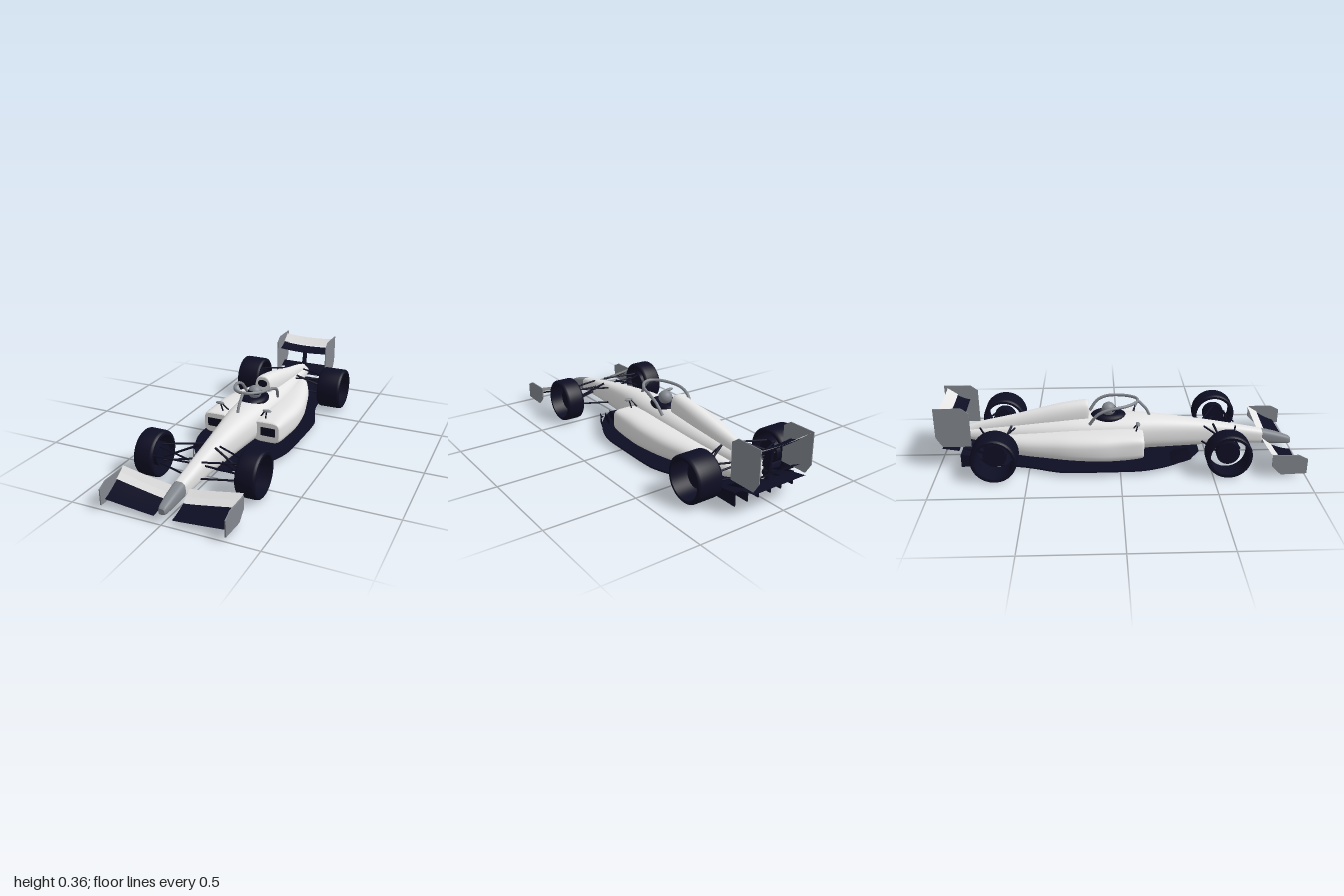
import * as THREE from 'three';
import { toCreasedNormals } from 'three/addons/utils/BufferGeometryUtils.js';

const V = (x, y, z) => new THREE.Vector3(x, y, z);
const SIDES = [1, -1];

export function createModel() {
  const car = new THREE.Group();
  const paint = (name, color) => {
    const m = new THREE.MeshStandardMaterial({ color, side: THREE.DoubleSide });
    m.name = name;
    return m;
  };
  const white = paint('bodyWhite', 0xe4e4e4);
  const navy = paint('darkNavy', 0x0e0e24);
  const grey = paint('trimGrey', 0x83888f);

  const add = (name, geo, mat, pos) => {
    const m = new THREE.Mesh(geo, mat);
    m.name = name;
    if (pos) m.position.copy(pos);
    car.add(m);
    return m;
  };

  // Smoothly lofted body: sections are [z, centreX, halfWidth, bottom, top, squareness]
  const loft = (name, keys, mat, s = 1, sub = 4, N = 36) => {
    const rows = [];
    const cr = (a, b, c, d, t) =>
      0.5 * (2 * b + (c - a) * t + (2 * a - 5 * b + 4 * c - d) * t * t + (3 * b - a - 3 * c + d) * t * t * t);
    for (let i = 0; i < keys.length - 1; i++) {
      const [a, b, c, d] = [-1, 0, 1, 2].map((k) => keys[Math.min(Math.max(i + k, 0), keys.length - 1)]);
      for (let k = 0; k < sub; k++) rows.push(b.map((_, q) => cr(a[q], b[q], c[q], d[q], k / sub)));
    }
    rows.push(keys[keys.length - 1]);
    const pos = [], idx = [];
    const ring = ([z, cx, w, y0, y1, n]) => {
      for (let j = 0; j < N; j++) {
        const a = (j / N) * Math.PI * 2, c = Math.cos(a), q = Math.sin(a);
        pos.push(s * cx + w * Math.sign(c) * Math.abs(c) ** (2 / n),
          (y0 + y1) / 2 + ((y1 - y0) / 2) * Math.sign(q) * Math.abs(q) ** (2 / n), z);
      }
    };
    rows.forEach(ring);
    for (let i = 0; i < rows.length - 1; i++) for (let j = 0; j < N; j++) {
      const k = (j + 1) % N, a = i * N + j, b = i * N + k;
      idx.push(a, a + N, b, b, a + N, b + N);
    }
    [rows[0], rows[rows.length - 1]].forEach((r, e) => {
      const base = pos.length / 3;
      ring(r);
      pos.push(s * r[1], (r[3] + r[4]) / 2, r[0]);
      for (let j = 0; j < N; j++) {
        const k = (j + 1) % N;
        idx.push(base + N, base + (e ? k : j), base + (e ? j : k));
      }
    });
    const g = new THREE.BufferGeometry();
    g.setAttribute('position', new THREE.Float32BufferAttribute(pos, 3));
    g.setIndex(idx);
    g.computeVertexNormals();
    return add(name, g, mat);
  };

  // Thin curved panel: f(u, v) returns a point
  const sheet = (name, f, mat, nu = 12, nv = 5) => {
    const g = new THREE.PlaneGeometry(1, 1, nu, nv), p = g.attributes.position;
    for (let i = 0; i < p.count; i++) p.setXYZ(i, ...f(p.getX(i) + 0.5, 0.5 - p.getY(i)).toArray());
    g.computeVertexNormals();
    return add(name, g, mat);
  };

  const rod = (name, a, b, r = 0.005, mat = navy) => {
    const m = add(name, new THREE.CylinderGeometry(r, r, a.distanceTo(b), 8), mat, a.clone().lerp(b, 0.5));
    m.quaternion.setFromUnitVectors(V(0, 1, 0), b.clone().sub(a).normalize());
  };

  // Plate standing upright along z, outline given as [z, y]
  const plate = (name, pts, x, mat, t = 0.006) => {
    const shape = new THREE.Shape(pts.map(([z, y]) => new THREE.Vector2(-z, y)));
    const g = new THREE.ExtrudeGeometry(shape, { depth: t, bevelEnabled: false });
    g.translate(0, 0, -t / 2).rotateY(Math.PI / 2);
    return add(name, g, mat, V(x, 0, 0));
  };

  // Fuselage, nose tip and engine cover
  loft('noseTip', [[0.99, 0, 0.016, 0.05, 0.08, 3], [0.97, 0, 0.023, 0.046, 0.093, 3],
    [0.9, 0, 0.03, 0.049, 0.117, 3], [0.82, 0, 0.034, 0.055, 0.137, 3]], grey);
  loft('fuselage', [[0.82, 0, 0.034, 0.055, 0.137, 3], [0.6, 0, 0.046, 0.055, 0.178, 2.8],
    [0.4, 0, 0.064, 0.05, 0.21, 2.6], [0.2, 0, 0.088, 0.045, 0.235, 2.5], [0.05, 0, 0.105, 0.043, 0.243, 2.5],
    [-0.2, 0, 0.112, 0.043, 0.243, 2.5], [-0.4, 0, 0.098, 0.045, 0.225, 2.5],
    [-0.6, 0, 0.068, 0.06, 0.2, 2.4], [-0.75, 0, 0.046, 0.085, 0.185, 2.3], [-0.86, 0, 0.038, 0.11, 0.175, 2.2]], white);
  loft('engineCover', [[-0.17, 0, 0.045, 0.2, 0.322, 2.6], [-0.19, 0, 0.05, 0.18, 0.331, 2.5],
    [-0.32, 0, 0.052, 0.16, 0.313, 2.3], [-0.45, 0, 0.046, 0.15, 0.284, 2.1], [-0.6, 0, 0.036, 0.14, 0.248, 2],
    [-0.75, 0, 0.028, 0.13, 0.217, 2], [-0.85, 0, 0.026, 0.12, 0.19, 2]], white);
  add('airIntake', new THREE.CircleGeometry(0.024, 24), navy, V(0, 0.288, -0.166)).scale.set(1.25, 0.9, 1);
  add('exhaust', new THREE.CylinderGeometry(0.018, 0.018, 0.04, 16, 1, true), navy, V(0, 0.15, -0.87)).rotation.x = Math.PI / 2;

  // Cockpit and driver
  const pad = add('headrest', new THREE.TorusGeometry(0.056, 0.021, 12, 32), navy, V(0, 0.236, -0.06));
  pad.rotation.x = Math.PI / 2;
  pad.scale.y = 1.3;
  add('cockpitWell', new THREE.SphereGeometry(1, 24, 12), navy, V(0, 0.232, -0.06)).scale.set(0.06, 0.018, 0.085);
  add('helmet', new THREE.SphereGeometry(0.039, 28, 20), grey, V(0, 0.276, -0.058));
  add('visor', new THREE.SphereGeometry(0.0405, 24, 6, Math.PI * 0.15, Math.PI * 0.7, 1.2, 0.5), navy, V(0, 0.276, -0.058));

  // Halo hoop with its centre pillar
  const hoop = [[-0.098, 0.225, -0.165], [-0.108, 0.285, -0.12], [-0.107, 0.312, -0.06], [-0.08, 0.322, 0.04], [-0.035, 0.326, 0.095]];
  const hoopPts = [...hoop, [0, 0.327, 0.105], ...hoop.slice().reverse().map(([x, y, z]) => [-x, y, z])].map((p) => V(...p));
  add('halo', new THREE.TubeGeometry(new THREE.CatmullRomCurve3(hoopPts), 64, 0.0085, 10), grey);
  add('haloPillar', new THREE.TubeGeometry(
    new THREE.CatmullRomCurve3([V(0, 0.228, 0.175), V(0, 0.27, 0.155), V(0, 0.325, 0.105)]), 16, 0.008, 10), grey);

  // Floor
  const edge = [[0.05, 0.455], [0.12, 0.405], [0.2, 0.305], [0.25, 0.2], [0.275, 0.1], [0.28, -0.05],
    [0.28, -0.28], [0.262, -0.37], [0.225, -0.47], [0.2, -0.57], [0.19, -0.7]];
  const outline = new THREE.SplineCurve(edge.map((p) => new THREE.Vector2(...p))).getPoints(48);
  outline.push(new THREE.Vector2(0.19, -0.79));
  const floorShape = new THREE.Shape([...outline, ...outline.slice().reverse().map((p) => new THREE.Vector2(-p.x, p.y))]);
  add('floor', new THREE.ExtrudeGeometry(floorShape, { depth: 0.009, bevelEnabled: false }).rotateX(Math.PI / 2), navy, V(0, 0.03, 0));

  // Diffuser ramp with strakes
  sheet('diffuserRamp', (u, v) => V((u - 0.5) * 0.38, 0.03 + 0.065 * v ** 1.4, -0.62 - 0.25 * v), navy);
  for (const x of [-0.19, -0.11, -0.04, 0.04, 0.11, 0.19])
    plate('diffuserStrake', [[-0.68, 0.024], [-0.87, 0.024], [-0.87, 0.098], [-0.78, 0.085]], x, navy);

  for (const s of SIDES) {
    // Sidepod with inlet
    loft('sidepod', [[0.13, 0.15, 0.074, 0.075, 0.183, 4.5], [0.11, 0.15, 0.082, 0.062, 0.192, 4],
      [0, 0.147, 0.091, 0.046, 0.197, 3.2], [-0.12, 0.145, 0.098, 0.043, 0.195, 3],
      [-0.27, 0.125, 0.102, 0.043, 0.188, 2.8], [-0.4, 0.1, 0.094, 0.043, 0.176, 2.6],
      [-0.55, 0.075, 0.076, 0.045, 0.16, 2.4], [-0.68, 0.052, 0.046, 0.06, 0.145, 2.2],
      [-0.76, 0.035, 0.024, 0.08, 0.13, 2]], white, s);
    add('sidepodInlet', new THREE.BoxGeometry(0.085, 0.048, 0.006), navy, V(s * 0.162, 0.132, 0.13));

    // Floor fences
    for (const [x0, x1] of [[0.08, 0.12], [0.105, 0.165], [0.125, 0.212]])
      sheet('floorFence', (u, v) => V(s * (x0 + (x1 - x0) * Math.sqrt(u)),
        0.027 + v * 0.047 * Math.min(1, u * 5, 0.6 + (1 - u) * 2), 0.41 - 0.13 * u), navy, 10, 2);

    // Mirror
    const mirror = add('mirror', new THREE.SphereGeometry(1, 16, 10), grey, V(s * 0.143, 0.243, 0.1));
    mirror.scale.set(0.026, 0.008, 0.012);
    rod('mirrorStay', V(s * 0.1, 0.2, 0.08), V(s * 0.13, 0.24, 0.1), 0.004);
    rod('mirrorStay', V(s * 0.13, 0.19, 0.09), V(s * 0.14, 0.24, 0.1), 0.004);

    // Wheels: open tyre band around a brake drum
    for (const [name, z, x, h] of [['front', 0.58, 0.281, 0.053], ['rear', -0.674, 0.272, 0.072]]) {
      const prof = [[0.103, -h], [0.116, -h], [0.122, -h + 0.006], [0.124, -h + 0.014], [0.124, h - 0.014],
        [0.122, h - 0.006], [0.116, h], [0.103, h], [0.103, -h]].map((p) => new THREE.Vector2(...p));
      const tyre = toCreasedNormals(new THREE.LatheGeometry(prof, 48), 0.6).rotateZ(Math.PI / 2);
      add(name + 'Tyre', tyre, navy, V(s * x, 0.125, z));
      add(name + 'BrakeDrum', new THREE.CylinderGeometry(0.063, 0.063, h * 0.9, 32).rotateZ(Math.PI / 2), navy,
        V(s * (x - h * 0.45), 0.125, z));
    }

    // Front suspension
    const hubF = (y, z) => V(s * 0.25, y, z);
    rod('frontUpperArm', V(s * 0.045, 0.178, 0.48), hubF(0.178, 0.58));
    rod('frontUpperArm', V(s * 0.035, 0.17, 0.66), hubF(0.178, 0.6));
    rod('frontLowerArm', V(s * 0.05, 0.088, 0.47), hubF(0.085, 0.58));
    rod('frontLowerArm', V(s * 0.038, 0.09, 0.68), hubF(0.085, 0.6));
    rod('frontTrackRod', V(s * 0.04, 0.14, 0.635), hubF(0.14, 0.645));
    rod('frontPushrod', V(s * 0.045, 0.192, 0.53), hubF(0.1, 0.585), 0.006);

    // Rear suspension
    const hubR = (y, z) => V(s * 0.24, y, z);
    rod('rearUpperArm', V(s * 0.04, 0.185, -0.58), hubR(0.18, -0.67));
    rod('rearUpperArm', V(s * 0.03, 0.18, -0.78), hubR(0.18, -0.69));
    rod('rearLowerArm', V(s * 0.05, 0.1, -0.6), hubR(0.085, -0.67));
    rod('rearLowerArm', V(s * 0.035, 0.115, -0.8), hubR(0.085, -0.69));
    rod('rearTrackRod', V(s * 0.04, 0.14, -0.72), hubR(0.135, -0.72));
    rod('rearPushrod', V(s * 0.05, 0.2, -0.6), hubR(0.11, -0.67), 0.006);

    // Front wing: main plane, two flaps and endplate
    const span = (u) => 0.048 + 0.28 * u;
    const lift = (u) => 0.04 * u ** 1.2;
    sheet('frontWingMain', (u, v) => V(s * span(u), 0.028 + lift(u) * (0.35 + 0.65 * v) + 0.03 * v ** 1.5, 0.982 - 0.014 * u - v * 0.11), navy);
    sheet('frontWingLowerFlap', (u, v) => V(s * span(u), 0.06 + lift(u) + 0.022 * v, 0.872 - 0.008 * u - v * 0.034), white);
    sheet('frontWingUpperFlap', (u, v) => V(s * span(u), 0.08 + lift(u) * 0.97 + 0.025 * v, 0.843 - 0.01 * u - v * 0.032), white);
    plate('frontEndplate', [[1, 0.025], [0.86, 0.02], [0.81, 0.07], [0.81, 0.135], [0.95, 0.135], [1, 0.11]], s * 0.33, grey);

    // Rear endplate
    plate('rearEndplate', [[-0.81, 0.135], [-0.965, 0.135], [-1, 0.19], [-1, 0.36], [-0.85, 0.36], [-0.81, 0.33]], s * 0.167, grey, 0.005);
  }

  // Rear wing planes, beam wing and pylon
  const dip = (u) => 0.01 * (2 * u - 1) ** 2;
  const wx = (u) => (u - 0.5) * 0.332;
  sheet('rearWingMain', (u, v) => V(wx(u), 0.266 + dip(u) + 0.026 * v ** 1.5, -0.857 - 0.07 * v), navy);
  sheet('rearWingFlap', (u, v) => V(wx(u), 0.298 + dip(u) + 0.038 * v, -0.925 - 0.055 * v), white);
  sheet('beamWing', (u, v) => V(wx(u), 0.108 + 0.015 * v, -0.88 - 0.09 * v), navy);
  sheet('upperBeamWing', (u, v) => V(wx(u), 0.145 + 0.025 * v, -0.885 - 0.05 * v), navy);
  plate('rearWingPylon', [[-0.83, 0.12], [-0.89, 0.12], [-0.91, 0.28], [-0.87, 0.27]], 0, navy, 0.014);

  return car;
}
